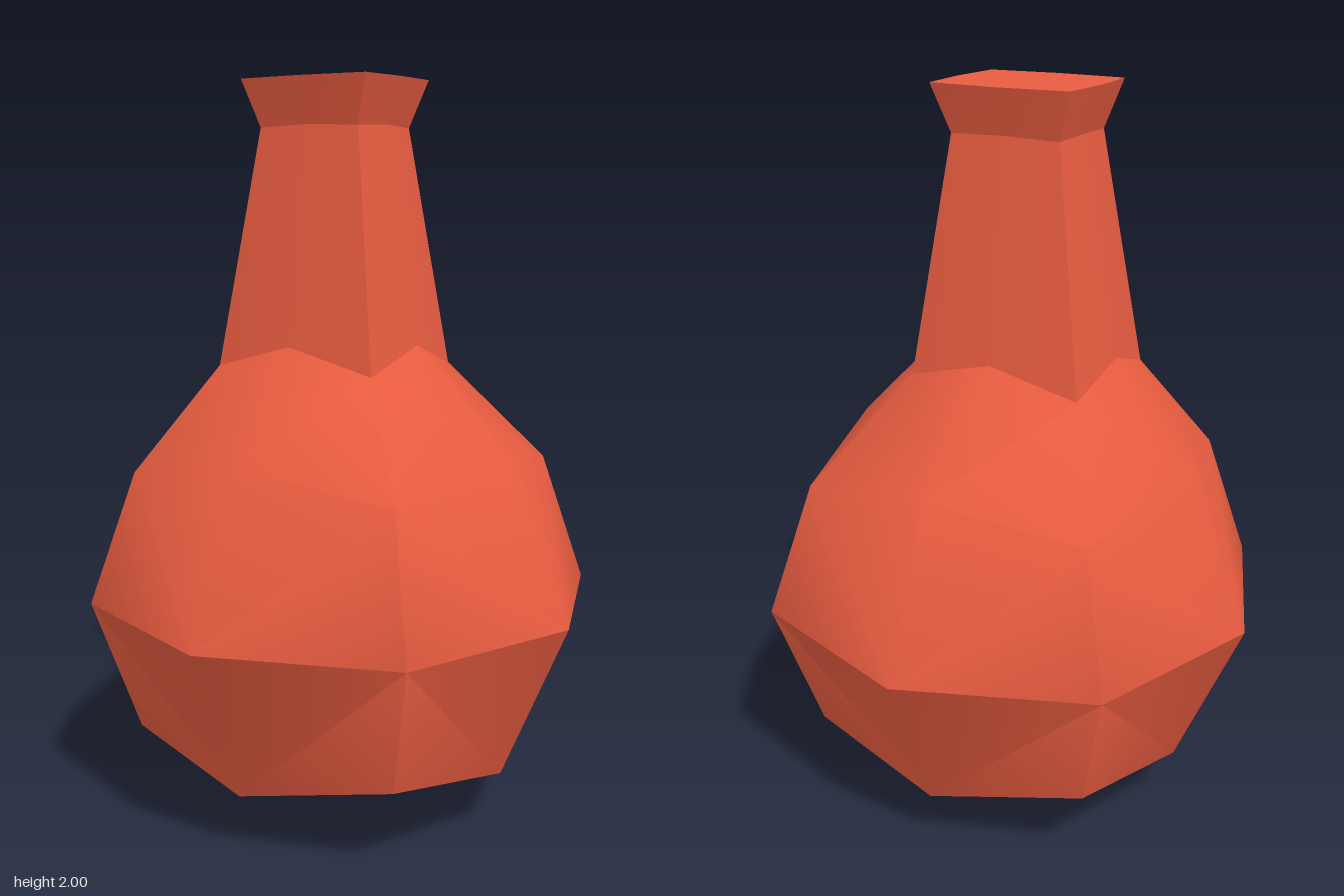
import * as THREE from 'three';
import { toCreasedNormals } from 'three/addons/utils/BufferGeometryUtils.js';

// Eight-sided ring: four side midpoints alternating with four corners.
function ring(yMid, yCorner, midX, midZ, cornerX, cornerZ, cx = 0, cz = 0) {
  const points = [];
  for (let i = 0; i < 8; i++) {
    const a = (i * Math.PI) / 4;
    const sx = Math.round(Math.sin(a)), sz = Math.round(Math.cos(a));
    const corner = i % 2 === 1;
    points.push([
      cx + sx * (corner ? cornerX : midX),
      corner ? yCorner : yMid,
      cz + sz * (corner ? cornerZ : midZ),
    ]);
  }
  return points;
}

// Joins rings from bottom to top, with optional fans to end points.
function loft(rings, bottom, top) {
  const positions = [];
  const tri = (a, b, c) => positions.push(...a, ...b, ...c);
  const first = rings[0], last = rings[rings.length - 1];
  for (let i = 0; i < 8; i++) {
    const j = (i + 1) % 8;
    if (bottom) tri(bottom, first[j], first[i]);
    for (let r = 0; r < rings.length - 1; r++) {
      const lo = rings[r], hi = rings[r + 1];
      // Diagonals run from side midpoints to corners, mirrored on each side.
      if (i % 2 === 0) {
        tri(lo[i], lo[j], hi[j]);
        tri(lo[i], hi[j], hi[i]);
      } else {
        tri(lo[i], lo[j], hi[i]);
        tri(lo[j], hi[j], hi[i]);
      }
    }
    if (top) tri(last[i], last[j], top);
  }
  const geometry = new THREE.BufferGeometry();
  geometry.setAttribute('position', new THREE.Float32BufferAttribute(positions, 3));
  return toCreasedNormals(geometry, 0.66);
}

export function createModel() {
  const group = new THREE.Group();
  group.name = 'flask';
  const material = new THREE.MeshStandardMaterial({ color: 0xe85c40 });
  const add = (name, geometry) => {
    const mesh = new THREE.Mesh(geometry, material);
    mesh.name = name;
    group.add(mesh);
  };

  const shoulder = ring(1.04, 0.965, 0.5, 0.5, 0.41, 0.41);
  const neckBase = ring(1.31, 1.245, 0.26, 0.217, 0.243, 0.2, -0.025, 0.012);
  const waist = ring(1.88, 1.875, 0.163, 0.135, 0.153, 0.126, -0.023, 0.012);
  const lip = ring(2, 2, 0.204, 0.17, 0.194, 0.157, -0.023, 0.011);

  // Faceted round body and sloping shoulder
  add('body', loft([
    ring(0.17, 0.245, 0.5, 0.5, 0.41, 0.41),
    ring(0.605, 0.605, 0.685, 0.685, 0.5, 0.5),
    shoulder,
    neckBase,
  ], [0, 0, 0], null));

  // Tapered, slightly off-centre neck
  add('neck', loft([neckBase, waist], null, null));

  // Flared lip with a flat closed top
  add('lip', loft([waist, lip], null, [-0.023, 2, 0.011]));

  return group;
}
